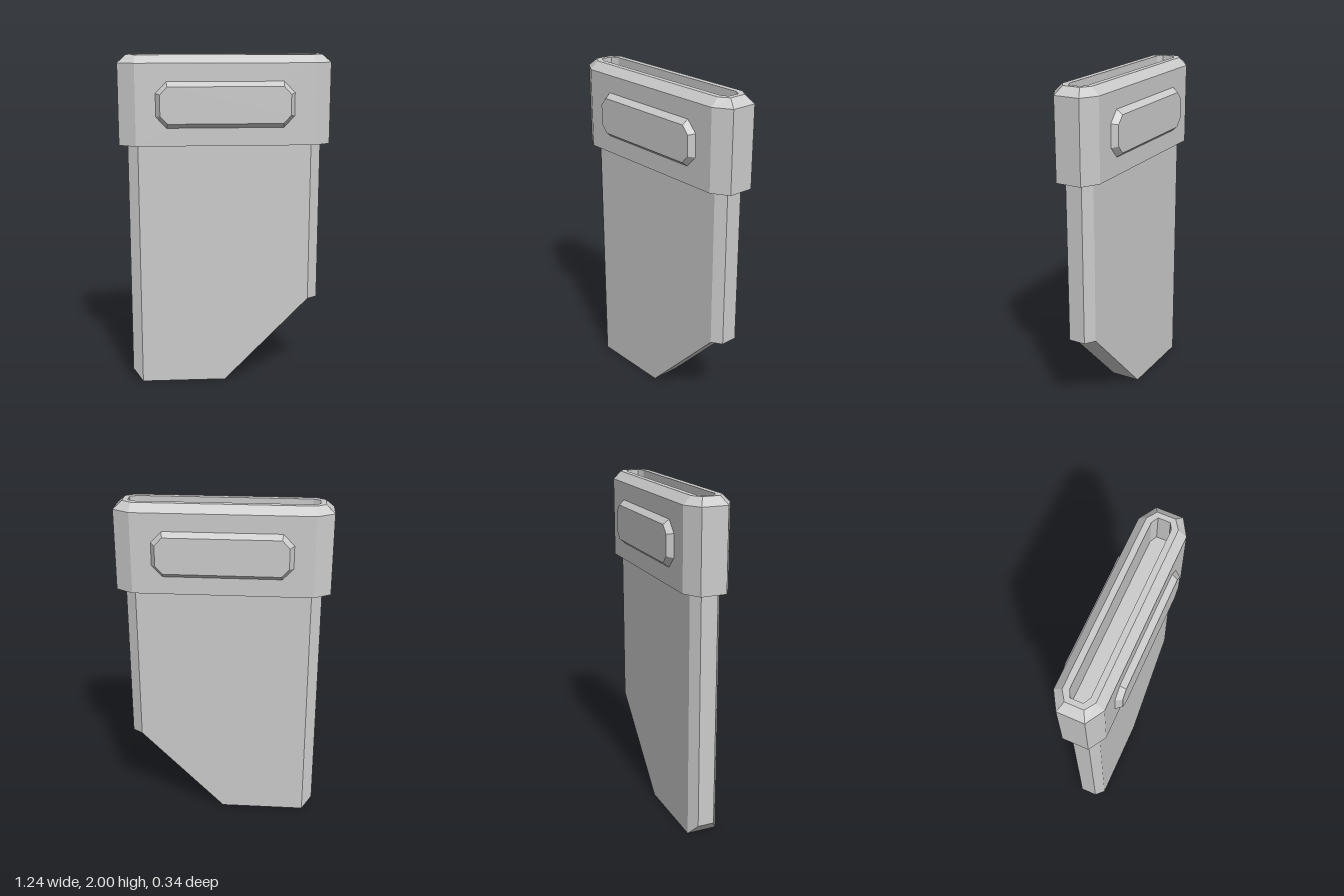
import * as THREE from 'three';

const material = new THREE.MeshStandardMaterial({ color: 0xcccccc, flatShading: true });

// Skins a series of convex rings (counter-clockwise seen from the last ring) and caps both ends
function loft(name, rings) {
  const pos = [];
  const tri = (a, b, c) => pos.push(...a, ...b, ...c);
  const n = rings[0].length;
  for (let r = 0; r < rings.length - 1; r++) {
    for (let i = 0; i < n; i++) {
      const j = (i + 1) % n, a = rings[r], b = rings[r + 1];
      tri(a[i], a[j], b[j]);
      tri(a[i], b[j], b[i]);
    }
  }
  const first = rings[0], last = rings[rings.length - 1];
  for (let i = 1; i < n - 1; i++) {
    tri(first[0], first[i + 1], first[i]);
    tri(last[0], last[i], last[i + 1]);
  }
  const geometry = new THREE.BufferGeometry();
  geometry.setAttribute('position', new THREE.Float32BufferAttribute(pos, 3));
  geometry.computeVertexNormals();
  const mesh = new THREE.Mesh(geometry, material);
  mesh.name = name;
  return mesh;
}

// Rectangle with cut corners: half sizes w, h and where the cuts start (cw, ch)
const octagon = (w, h, cw, ch) => [
  [w, -ch], [w, ch], [cw, h], [-cw, h], [-w, ch], [-w, -ch], [-cw, -h], [cw, -h],
];

export function createModel() {
  const group = new THREE.Group();

  // Flat sheath body: stations along x of [x, half thickness, bottom y]
  const stations = [
    [-0.57, 0.05, 0.07], [-0.51, 0.09, 0], [0, 0.09, 0], [0.51, 0.09, 0.52], [0.57, 0.05, 0.52],
  ];
  group.add(loft('sheathBody', stations.map(([x, t, y]) => [
    [x, y, -t], [x, 1.48, -t], [x, 1.48, t], [x, y, t],
  ])));

  // Collar with bevelled rim and a pocket sunk into the top
  const level = (y, ...size) => octagon(...size).map(([x, z]) => [x, y, -z]);
  group.add(loft('collar', [
    level(1.48, 0.62, 0.137, 0.52, 0.077),
    level(1.955, 0.62, 0.137, 0.52, 0.077),
    level(2, 0.57, 0.09, 0.515, 0.052),
    level(2, 0.54, 0.056, 0.5, 0.035),
    level(1.8, 0.54, 0.056, 0.5, 0.035),
  ]));

  // Raised bevelled plates on the front and back of the collar
  const layer = (z, ...size) => octagon(...size).map(([x, y]) => [x, y, z]);
  for (const [name, turn] of [['frontPlate', 0], ['backPlate', Math.PI]]) {
    const plate = loft(name, [
      layer(0.13, 0.403, 0.133, 0.34, 0.067),
      layer(0.137, 0.403, 0.133, 0.34, 0.067),
      layer(0.171, 0.378, 0.106, 0.335, 0.06),
    ]);
    plate.position.y = 1.718;
    plate.rotation.y = turn;
    group.add(plate);
  }
  return group;
}
